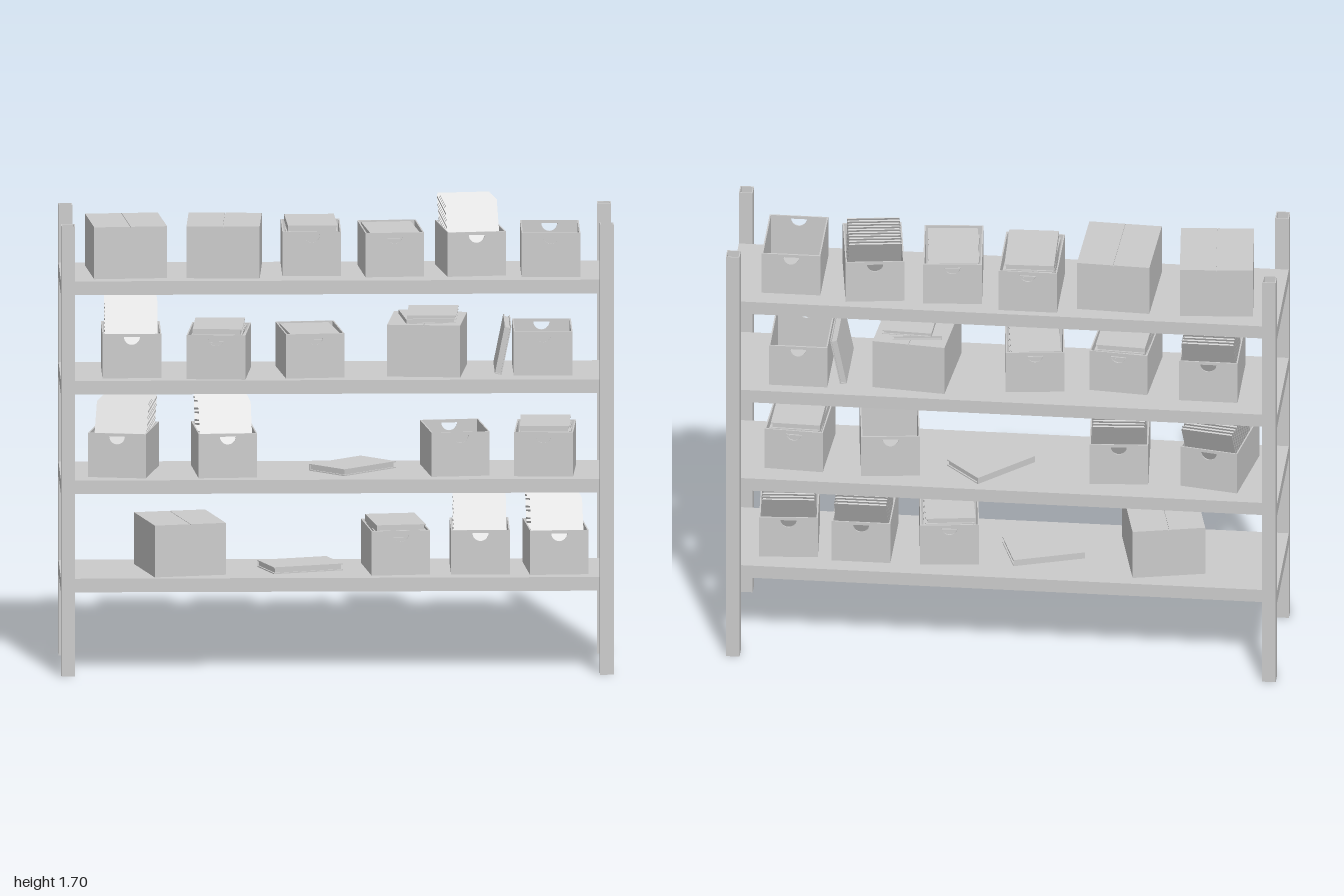
import * as THREE from 'three';

const grey = new THREE.MeshStandardMaterial({ color: 0xcccccc });

// Adds a box given its size and centre
function block(parent, name, w, h, d, x, y, z) {
  const m = new THREE.Mesh(new THREE.BoxGeometry(w, h, d), grey);
  m.name = name;
  m.position.set(x, y, z);
  parent.add(m);
  return m;
}

function rectShape(w, h) {
  return new THREE.Shape([[-w, -h], [w, -h], [w, h], [-w, h]].map(([x, y]) => new THREE.Vector2(x / 2, y / 2)));
}

// Hollow square upright, open at both ends
function post(x, z) {
  const s = rectShape(0.05, 0.052);
  s.holes.push(rectShape(0.042, 0.044));
  const m = new THREE.Mesh(new THREE.ExtrudeGeometry(s, { depth: 1.65, bevelEnabled: false }), grey);
  m.rotation.x = -Math.PI / 2;
  m.position.set(x, 0, z);
  m.name = 'post';
  return m;
}

// Hardback ledger lying flat, spine on -x
const BOOK = { w: 0.18, h: 0.025, d: 0.265 };
function book() {
  const g = new THREE.Group(), { w, h, d } = BOOK, t = 0.004;
  g.name = 'ledger';
  block(g, 'bottomCover', w, t, d, 0, t / 2, 0);
  block(g, 'topCover', w, t, d, 0, h - t / 2, 0);
  block(g, 'spine', t, h - 2 * t, d, -w / 2 + t / 2, h / 2, 0);
  block(g, 'pages', w - 0.01, h - 2 * t, d - 0.012, -0.001, h / 2, 0);
  return g;
}

// Closed carton with two top flaps meeting along a seam
function carton() {
  const g = new THREE.Group(), w = 0.265, h = 0.19, d = 0.315;
  g.name = 'closedCarton';
  block(g, 'cartonBody', w, h - 0.004, d, 0, (h - 0.004) / 2, 0);
  for (const s of [-1, 1]) block(g, 'topFlap', w / 2 - 0.001, 0.004, d, s * (w / 4 + 0.0005), h - 0.002, 0);
  return g;
}

// Open box with half-round hand holes in front and back
const BIN = { w: 0.213, h: 0.162, d: 0.295, t: 0.005 };
function bin() {
  const g = new THREE.Group(), { w, h, d, t } = BIN;
  g.name = 'openBox';
  const panel = rectShape(w, h);
  const hole = new THREE.Path();
  hole.absarc(0, h / 2 - 0.011, 0.029, Math.PI, Math.PI * 2, false);
  hole.closePath();
  panel.holes.push(hole);
  const geo = new THREE.ExtrudeGeometry(panel, { depth: t, bevelEnabled: false, curveSegments: 10 });
  for (const z of [d / 2 - t, -d / 2]) {
    const m = new THREE.Mesh(geo, grey);
    m.name = 'endPanel';
    m.position.set(0, h / 2, z);
    g.add(m);
  }
  for (const s of [-1, 1]) block(g, 'sidePanel', t, h, d - 2 * t, s * (w - t) / 2, h / 2, 0);
  block(g, 'floor', w - 2 * t, t, d - 2 * t, 0, t / 2, 0);
  return g;
}

// Box filled with a stack of ledgers reaching the given height
function stackBin(top) {
  const g = bin();
  for (let i = 0; i < 6; i++) {
    const b = book();
    b.position.y = top - (i + 1) * BOOK.h;
    b.rotation.y = [0.03, -0.02, 0.01][i % 3];
    g.add(b);
  }
  return g;
}

// Box of folders leaning towards the back
function folderBin() {
  const g = bin(), lean = 0.47, len = 0.276, n = 9;
  for (let i = 0; i < n; i++) {
    const f = new THREE.Group();
    f.name = 'folder';
    for (const s of [-1, 1]) block(f, 'folderCover', 0.19, len, 0.003, 0, len / 2, s * 0.0065);
    block(f, 'papers', 0.184, len - 0.012, 0.01, 0, len / 2 - 0.004, 0);
    f.position.set(0, 0.009, 0.127 - i * 0.0215);
    f.rotation.x = -lean;
    g.add(f);
  }
  return g;
}

// Closed carton carrying two ledgers
function loadedCarton() {
  const g = carton();
  [[0, 0.2], [0.02, 0.05]].forEach(([x, r], i) => {
    const b = book();
    b.scale.set(1, 0.6, 0.9);
    b.position.set(x, 0.19 + i * 0.015, 0);
    b.rotation.y = r;
    g.add(b);
  });
  return g;
}

// Ledger standing on its spine, tilted against a neighbour
function leaningBook() {
  const g = new THREE.Group(), b = book();
  b.rotation.z = Math.PI / 2 - 0.2;
  b.position.set(0.01, BOOK.w / 2, 0);
  g.name = 'leaningLedger';
  g.add(b);
  return g;
}

const make = {
  carton, folders: folderBin, empty: bin, book, loaded: loadedCarton, lean: leaningBook,
  full: () => stackBin(0.158), heaped: () => stackBin(0.182),
};

// Shelves: top height, then items as kind, x, z, turn
const shelves = [
  [0.35, [
    ['carton', -0.565, 0.01, 0.22], ['book', -0.13, 0, -1.25], ['heaped', 0.215, 0.01, 0.11],
    ['folders', 0.52, 0, 0], ['folders', 0.795, 0.01, 0.07]]],
  [0.71, [
    ['folders', -0.77, 0.01, -0.18], ['folders', -0.405, 0.02, 0.07], ['book', 0.06, -0.02, -0.8],
    ['empty', 0.43, 0, 0.12], ['heaped', 0.757, 0.01, -0.06]]],
  [1.075, [
    ['folders', -0.742, 0.01, 0], ['heaped', -0.425, 0.045, -0.09], ['full', -0.095, 0.02, 0.11],
    ['loaded', 0.33, -0.005, -0.1], ['lean', 0.605, -0.01, 0], ['empty', 0.747, -0.02, 0]]],
  [1.44, [
    ['carton', -0.76, 0, 0.085], ['carton', -0.405, 0, -0.045], ['heaped', -0.09, -0.04, 0],
    ['full', 0.198, -0.01, 0.08], ['folders', 0.487, -0.02, 0.135], ['empty', 0.775, 0.005, 0]]],
];

export function createModel() {
  const root = new THREE.Group();
  root.name = 'storageRack';
  for (const x of [-0.975, 0.975]) for (const z of [-0.242, 0.242]) root.add(post(x, z));
  for (const [y, items] of shelves) {
    block(root, 'shelf', 2, 0.05, 0.432, 0, y - 0.025, 0);
    for (const [kind, x, z, turn] of items) {
      const item = make[kind]();
      item.position.set(x, y, z);
      item.rotation.y = turn;
      root.add(item);
    }
  }
  return root;
}
